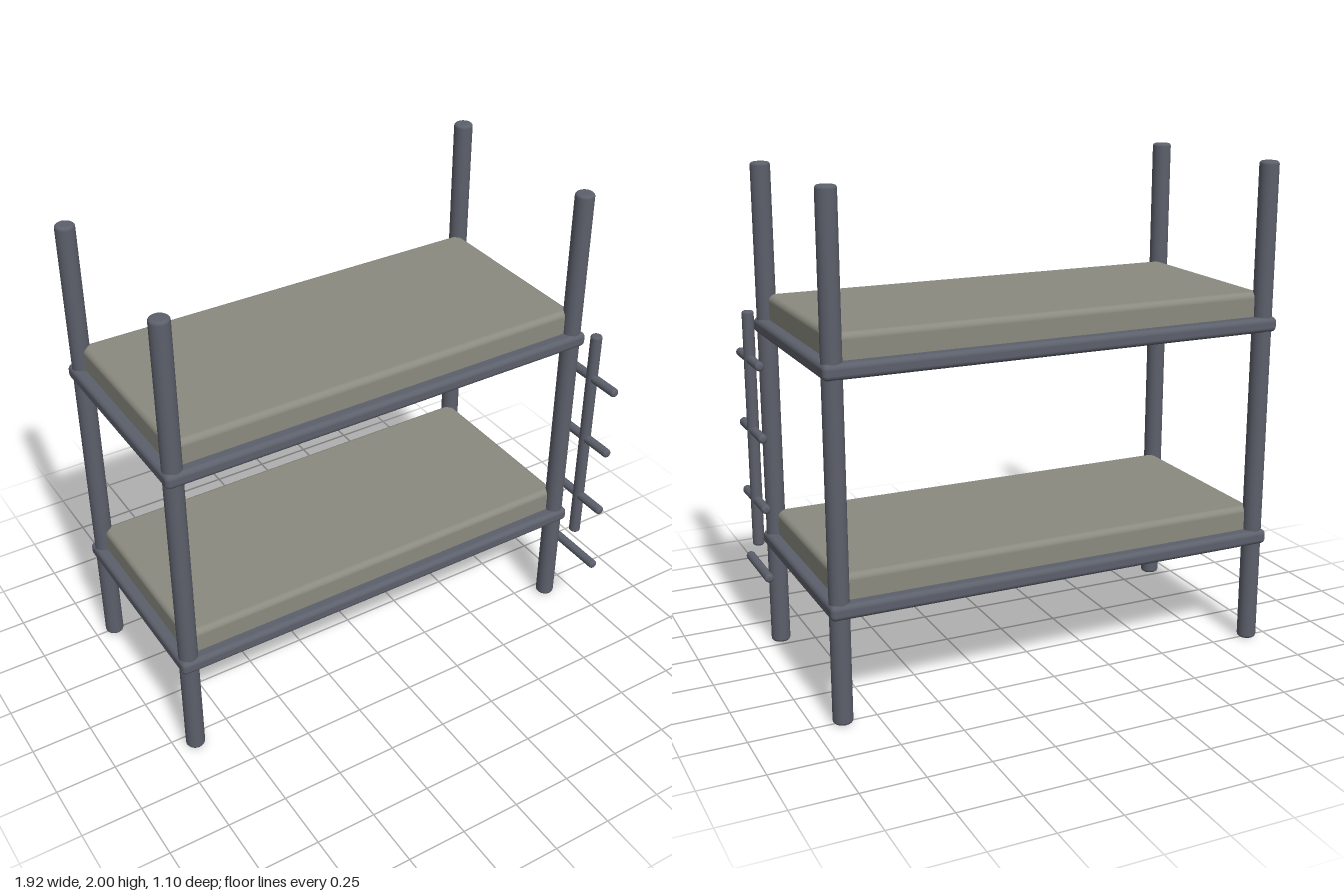
import * as THREE from 'three';
import { RoundedBoxGeometry } from 'three/addons/geometries/RoundedBoxGeometry.js';

const metal = new THREE.MeshStandardMaterial({ name: 'slate frame', color: 0x5c606b });
const fabric = new THREE.MeshStandardMaterial({ name: 'grey mattress', color: 0x8a8a80 });

// Upright rod with softly rounded ends, centred on its middle
function rodGeometry(radius, length, bevel) {
  const h = length / 2;
  const points = [new THREE.Vector2(0, -h)];
  for (let i = 0; i <= 4; i++) {
    const a = (i / 4) * Math.PI / 2;
    points.push(new THREE.Vector2(radius - bevel + bevel * Math.sin(a), -h + bevel - bevel * Math.cos(a)));
  }
  for (let i = 0; i <= 4; i++) {
    const a = (i / 4) * Math.PI / 2;
    points.push(new THREE.Vector2(radius - bevel + bevel * Math.cos(a), h - bevel + bevel * Math.sin(a)));
  }
  points.push(new THREE.Vector2(0, h));
  return new THREE.LatheGeometry(points, 28);
}

function addPart(parent, name, geometry, material, x, y, z) {
  const mesh = new THREE.Mesh(geometry, material);
  mesh.name = name;
  mesh.position.set(x, y, z);
  parent.add(mesh);
  return mesh;
}

export function createModel() {
  const model = new THREE.Group();
  model.name = 'bunkBed';
  const cx = -0.015, cz = -0.1;

  // Four corner posts
  const post = rodGeometry(0.039, 2, 0.013);
  for (const sx of [-1, 1]) {
    for (const sz of [-1, 1]) {
      addPart(model, 'cornerPost', post, metal, cx + sx * 0.9, 1, cz + sz * 0.4);
    }
  }

  // Two bunks: rounded base slab with a mattress set into it
  const base = new RoundedBoxGeometry(1.89, 0.06, 0.895, 4, 0.02);
  const mattress = new RoundedBoxGeometry(1.8, 0.13, 0.8, 4, 0.025);
  for (const y of [0.455, 1.355]) {
    const bunk = new THREE.Group();
    bunk.name = y < 1 ? 'lowerBunk' : 'upperBunk';
    bunk.position.set(cx, y, cz);
    addPart(bunk, 'bedBase', base, metal, 0, 0, 0);
    addPart(bunk, 'mattress', mattress, fabric, 0, 0.063, 0);
    model.add(bunk);
  }

  // Ladder beside the front post: one upright crossed by four rungs
  const ladder = new THREE.Group();
  ladder.name = 'ladder';
  ladder.position.set(0.935, 0, 0.4);
  addPart(ladder, 'ladderUpright', rodGeometry(0.024, 1, 0.01), metal, 0, 0.9, 0);
  const rung = rodGeometry(0.019, 0.3, 0.012).rotateX(Math.PI / 2);
  for (let i = 0; i < 4; i++) {
    addPart(ladder, 'rung', rung, metal, 0, 0.3 + i * 0.3, 0);
  }
  model.add(ladder);

  return model;
}
